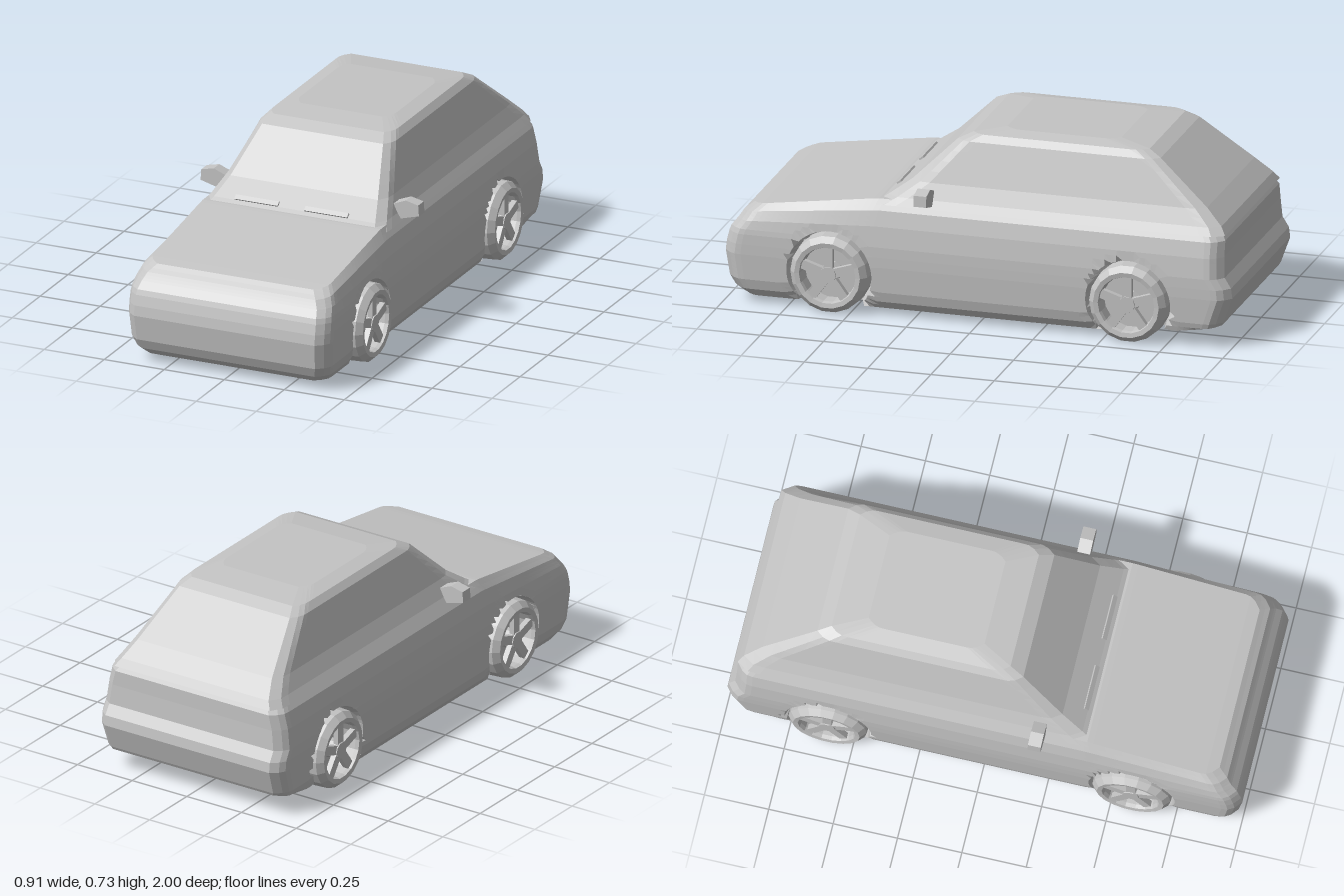
import * as THREE from 'three';

const paint = new THREE.MeshStandardMaterial({ color: 0xc4c4c4, flatShading: true });
paint.name = 'plain grey';

const WHEEL_Z = [0.58, -0.6], WHEEL_Y = 0.155, ARCH = 0.168;

// Linear interpolation through rows whose first entry rises
function lookup(rows, v) {
  let i = 0;
  while (i < rows.length - 2 && v > rows[i + 1][0]) i++;
  const a = rows[i], b = rows[i + 1];
  const t = THREE.MathUtils.clamp((v - a[0]) / (b[0] - a[0]), 0, 1);
  return a.map((n, k) => n + (b[k] - n) * t);
}

// Heights of a shell, subdivided between its main levels
function heights(levels, step) {
  const out = [];
  for (let i = 0; i < levels.length - 1; i++) {
    const y0 = levels[i][0], y1 = levels[i + 1][0];
    const n = Math.max(1, Math.round((y1 - y0) / step));
    for (let j = 0; j < n; j++) out.push(y0 + ((y1 - y0) * j) / n);
  }
  out.push(levels[levels.length - 1][0]);
  return out;
}

// Closed shell from levels [y, back z, front z, half width]; rule adjusts each point
function shell(name, levels, stations, step, corner, rule) {
  const ys = heights(levels, step), K = ys.length, n = 2 * K;
  const pos = [], idx = [];
  for (let i = 0; i <= stations; i++) {
    const half = ys.map((y) => {
      const [, zb, zf, w] = lookup(levels, y);
      const z = zb + ((zf - zb) * i) / stations;
      const edge = Math.max(0, 1 - Math.min(z - zb, zf - z) / 0.06);
      const p = new THREE.Vector3(w - corner * edge * edge, y, z);
      if (rule) rule(p);
      return p;
    });
    half.forEach((p) => pos.push(p.x, p.y, p.z));
    half.slice().reverse().forEach((p) => pos.push(-p.x, p.y, p.z));
  }
  const quad = (a, b, c, d) => idx.push(a, b, c, a, c, d);
  for (let i = 0; i < stations; i++) {
    for (let j = 0; j < n; j++) {
      const k = (j + 1) % n;
      quad(i * n + j, i * n + k, (i + 1) * n + k, (i + 1) * n + j);
    }
  }
  const f = stations * n;
  for (let k = 0; k < K - 1; k++) {
    const r = n - 1 - k;
    quad(f + r, f + k, f + k + 1, f + r - 1);
    quad(k, r, r - 1, k + 1);
  }
  const g = new THREE.BufferGeometry();
  g.setAttribute('position', new THREE.Float32BufferAttribute(pos, 3));
  g.setIndex(idx);
  g.computeVertexNormals();
  return part(name, g);
}

function part(name, geometry) {
  const m = new THREE.Mesh(geometry, paint);
  m.name = name;
  return m;
}

// Sloping bonnet, rising tail underside and recessed wheel arches
function shapeBody(p) {
  const top = lookup([[-1, 0.46], [0.4, 0.46], [0.85, 0.395], [0.95, 0.375]], p.z)[1];
  if (p.y > 0.3) p.y = 0.3 + ((p.y - 0.3) * (top - 0.3)) / 0.16;
  p.y = Math.max(p.y, 0.03 + (-0.6 - p.z) * 0.16);
  for (const wz of WHEEL_Z) {
    const dz = p.z - wz, dy = p.y - WHEEL_Y, d = Math.hypot(dz, dy);
    if (d < ARCH) p.x = 0.32;
    else if (d < ARCH + 0.02 && p.y > 0.04) {
      p.z = wz + (dz * ARCH) / d;
      p.y = WHEEL_Y + (dy * ARCH) / d;
    }
  }
}

// Wheel with its axle along x and its outer face at +x
function wheel(name) {
  const g = new THREE.Group();
  g.name = name;
  const profile = [[0.108, 0.34], [0.145, 0.335], [0.155, 0.36], [0.152, 0.42],
    [0.13, 0.443], [0.112, 0.44], [0.108, 0.425], [0.108, 0.34]]
    .map(([r, x]) => new THREE.Vector2(r, x));
  const tyre = part('tyre', new THREE.LatheGeometry(profile, 18));
  tyre.rotation.z = -Math.PI / 2;
  const back = part('wheelBack', new THREE.CylinderGeometry(0.112, 0.112, 0.03, 18));
  back.rotation.z = Math.PI / 2;
  back.position.x = 0.355;
  const hub = part('hub', new THREE.CylinderGeometry(0.032, 0.04, 0.06, 10));
  hub.rotation.z = -Math.PI / 2;
  hub.position.x = 0.405;
  g.add(tyre, back, hub);
  for (let i = 0; i < 5; i++) {
    const geo = new THREE.BoxGeometry(0.022, 0.1, 0.036);
    geo.translate(0.42, 0.066, 0);
    const spoke = part('spoke', geo);
    spoke.rotation.x = (i * Math.PI * 2) / 5;
    g.add(spoke);
  }
  return g;
}

export function createModel() {
  const car = new THREE.Group();
  car.name = 'car';

  // Lower body with bumpers
  car.add(shell('body', [
    [0.03, -0.9, 0.93, 0.385], [0.06, -0.95, 0.965, 0.405], [0.1, -0.965, 0.985, 0.416],
    [0.2, -1, 1, 0.421], [0.24, -0.995, 0.995, 0.421], [0.28, -0.97, 0.985, 0.42],
    [0.36, -0.965, 0.955, 0.41], [0.42, -0.965, 0.935, 0.395], [0.46, -0.94, 0.9, 0.37],
  ], 84, 0.02, 0.045, shapeBody));

  // Cabin with raked windscreen and sloping tail
  car.add(shell('cabin', [
    [0.44, -0.965, 0.42, 0.385], [0.47, -0.945, 0.37, 0.366], [0.53, -0.88, 0.285, 0.337],
    [0.69, -0.68, 0.12, 0.282], [0.715, -0.63, 0.065, 0.26], [0.728, -0.5, -0.05, 0.2],
  ], 30, 0.04, 0.03));

  // Wheels
  for (const [i, z] of WHEEL_Z.entries()) {
    for (const side of [1, -1]) {
      const w = wheel((i ? 'rear' : 'front') + (side > 0 ? 'Left' : 'Right') + 'Wheel');
      w.position.set(0, WHEEL_Y, z);
      if (side < 0) w.rotation.y = Math.PI;
      car.add(w);
    }
  }

  // Door mirrors
  for (const side of [1, -1]) {
    const outline = [[0.35, 0.44], [0.4, 0.455], [0.455, 0.47], [0.452, 0.513], [0.4, 0.525], [0.35, 0.505]];
    const s = new THREE.Shape(outline.map(([x, y]) => new THREE.Vector2(x * side, y)));
    const geo = new THREE.ExtrudeGeometry(s, { depth: 0.05, bevelEnabled: false });
    geo.translate(0, 0, 0.185);
    car.add(part(side > 0 ? 'leftMirror' : 'rightMirror', geo));
  }

  // Wipers
  for (const x of [-0.16, 0.13]) {
    const wiper = part('wiper', new THREE.BoxGeometry(0.18, 0.012, 0.02));
    wiper.position.set(x, 0.477, 0.362);
    wiper.rotation.x = 0.7;
    car.add(wiper);
  }
  return car;
}
